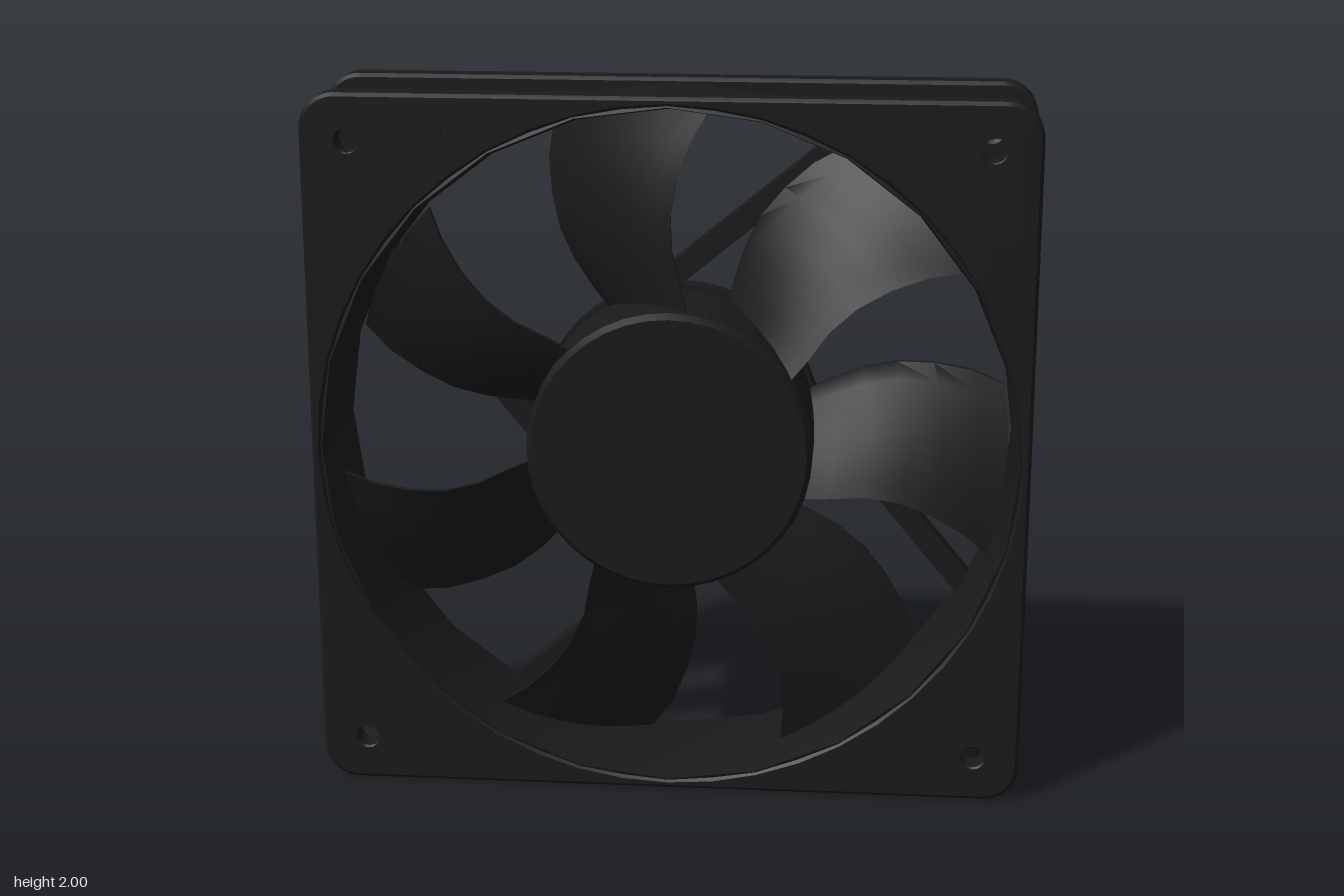
import * as THREE from 'three';
import { toCreasedNormals } from 'three/addons/utils/BufferGeometryUtils.js';

const plastic = new THREE.MeshStandardMaterial({ color: 0x1a1a1a });
const HOLE = 0.87; // screw hole offset from the centre
const RAD = Math.PI / 180;

function addMesh(parent, name, geometry, crease = 0.6) {
  const mesh = new THREE.Mesh(toCreasedNormals(geometry, crease), plastic);
  mesh.name = name;
  parent.add(mesh);
  return mesh;
}

function circle(x, y, r) {
  return new THREE.Path().absarc(x, y, r, 0, Math.PI * 2, true);
}

// Solid of revolution about the z axis; points are [radius, z]
function turned(points, segments) {
  const profile = points.map(([r, z]) => new THREE.Vector2(r, z));
  return new THREE.LatheGeometry(profile, segments).rotateX(Math.PI / 2);
}

// Rounded square plate with the round opening and four screw holes
function flangeGeometry() {
  const h = 0.99, r = 0.09, c = h - r;
  const shape = new THREE.Shape();
  shape.absarc(c, c, r, 0, 90 * RAD);
  shape.absarc(-c, c, r, 90 * RAD, 180 * RAD);
  shape.absarc(-c, -c, r, 180 * RAD, 270 * RAD);
  shape.absarc(c, -c, r, 270 * RAD, 360 * RAD);
  shape.closePath();
  shape.holes.push(circle(0, 0, 0.982));
  for (const x of [-HOLE, HOLE]) for (const y of [-HOLE, HOLE]) shape.holes.push(circle(x, y, 0.043));
  const geometry = new THREE.ExtrudeGeometry(shape, {
    depth: 0.062, bevelThickness: 0.01, bevelSize: 0.01, bevelSegments: 1, curveSegments: 24,
  });
  return geometry.translate(0, 0, -0.031); // centred, 0.082 thick
}

// Thin corner pad following the round opening
function padGeometry() {
  const shape = new THREE.Shape();
  shape.moveTo(0.65, 0.945);
  shape.lineTo(0.88, 0.945);
  shape.quadraticCurveTo(0.945, 0.945, 0.945, 0.88);
  shape.lineTo(0.945, 0.65);
  shape.quadraticCurveTo(0.94, 0.61, 0.9, 0.61);
  shape.quadraticCurveTo(0.845, 0.61, 0.81, 0.66);
  shape.quadraticCurveTo(0.74, 0.74, 0.66, 0.81);
  shape.quadraticCurveTo(0.61, 0.845, 0.61, 0.9);
  shape.quadraticCurveTo(0.61, 0.94, 0.65, 0.945);
  shape.holes.push(circle(HOLE, HOLE, 0.035));
  return new THREE.ExtrudeGeometry(shape, { depth: 0.006, bevelEnabled: false, curveSegments: 8 });
}

// Swept blade pointing up +y, closed, lofted from sections at growing radius
function bladeGeometry() {
  // radius, trailing angle, leading angle, trailing z, leading z
  const sections = [
    [0.37, 119, 82, -0.12, 0.14],
    [0.46, 121, 86, -0.125, 0.13],
    [0.56, 121.5, 89.5, -0.13, 0.12],
    [0.66, 120.5, 90, -0.13, 0.11],
    [0.76, 118, 88.7, -0.13, 0.1],
    [0.86, 115, 86.5, -0.125, 0.085],
    [0.945, 111.5, 84, -0.12, 0.07],
  ];
  const N = 9, M = 2 * N, half = 0.009;
  const positions = [], index = [];
  sections.forEach(([r, a0, a1, z0, z1], j) => {
    for (let i = 0; i < M; i++) {
      const front = i < N;
      const t = (front ? i : M - 1 - i) / (N - 1);
      const a = (a0 + (a1 - a0) * t) * RAD;
      const z = z0 + (z1 - z0) * t + 0.02 * Math.sin(Math.PI * t);
      positions.push(r * Math.cos(a), r * Math.sin(a), z + (front ? half : -half));
      if (j === sections.length - 1) continue;
      const p = j * M + i, q = j * M + (i + 1) % M;
      index.push(p, q, q + M, p, q + M, p + M);
    }
  });
  // tip cap
  const tip = (sections.length - 1) * M;
  for (let i = 0; i < N - 1; i++) {
    const f = tip + i, b = tip + M - 1 - i;
    index.push(f, f + 1, b - 1, f, b - 1, b);
  }
  const geometry = new THREE.BufferGeometry();
  geometry.setAttribute('position', new THREE.Float32BufferAttribute(positions, 3));
  geometry.setIndex(index);
  return geometry;
}

export function createModel() {
  const model = new THREE.Group();
  model.name = 'coolingFan';
  const fan = new THREE.Group();
  fan.name = 'fan';
  fan.position.y = 1;
  model.add(fan);

  // Frame: two flanges joined by a flared duct
  const frame = new THREE.Group();
  frame.name = 'frame';
  fan.add(frame);
  const flange = flangeGeometry();
  addMesh(frame, 'frontFlange', flange).position.z = 0.171;
  addMesh(frame, 'backFlange', flange).position.z = -0.171;
  addMesh(frame, 'duct', turned([
    [0.972, -0.208], [0.99, -0.2], [0.99, 0.2], [0.972, 0.208],
    [0.96, 0.15], [0.96, -0.15], [0.972, -0.208],
  ], 24), 0.5);

  // Corner pads on both faces
  const pad = padGeometry();
  for (const face of [0, Math.PI]) {
    const side = new THREE.Group();
    side.name = face ? 'backPads' : 'frontPads';
    side.rotation.y = face;
    frame.add(side);
    for (let k = 0; k < 4; k++) {
      const mesh = addMesh(side, 'cornerPad', pad);
      mesh.position.z = 0.209;
      mesh.rotation.z = k * Math.PI / 2;
    }
  }

  // Motor mount and its four tangential struts at the back
  addMesh(frame, 'motorMount', turned([
    [0, -0.2], [0.4, -0.2], [0.41, -0.19], [0.41, -0.13], [0, -0.13],
  ], 40));
  const strut = new THREE.BoxGeometry(0.82, 0.065, 0.06).translate(0.495, 0.342, -0.173);
  for (let k = 0; k < 4; k++) {
    addMesh(frame, 'strut', strut).rotation.z = 39.5 * RAD + k * Math.PI / 2;
  }

  // Rotor: hub cap and seven blades
  const rotor = new THREE.Group();
  rotor.name = 'rotor';
  fan.add(rotor);
  addMesh(rotor, 'hub', turned([
    [0, -0.12], [0.4, -0.12], [0.4, 0.165], [0.385, 0.185], [0, 0.185],
  ], 40));
  const blade = bladeGeometry();
  for (let k = 0; k < 7; k++) {
    addMesh(rotor, 'blade', blade, 0.9).rotation.z = k * Math.PI * 2 / 7;
  }
  return model;
}
